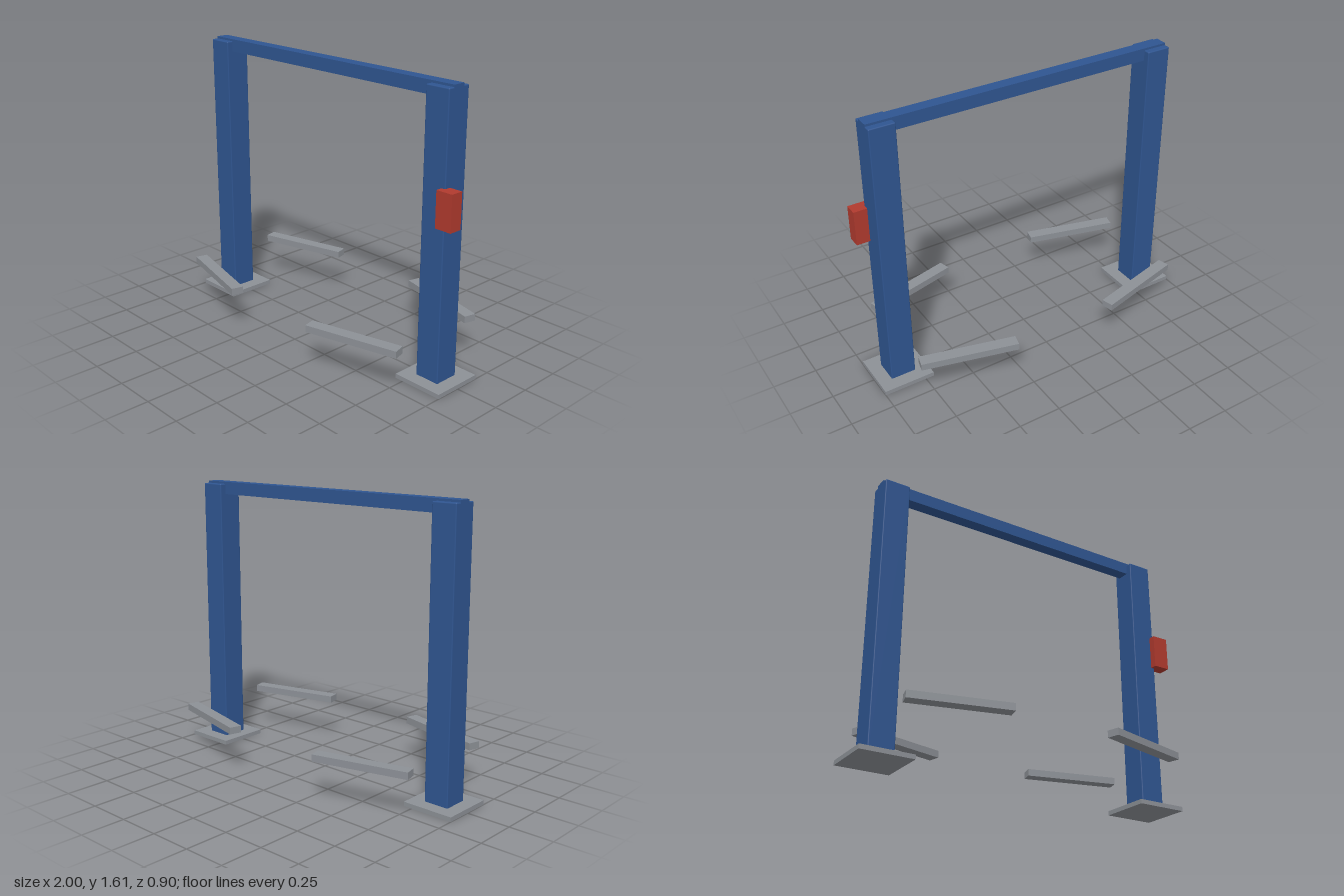
import * as THREE from 'three';
import { RoundedBoxGeometry } from 'three/addons/geometries/RoundedBoxGeometry.js';

const blue = new THREE.MeshStandardMaterial({ color: 0x2f5590 });
const red = new THREE.MeshStandardMaterial({ color: 0xb03a2e });
const grey = new THREE.MeshStandardMaterial({ color: 0x8c9096 });

export function createModel() {
  const model = new THREE.Group();
  model.name = 'twoPostLift';

  const add = (name, geometry, material, x, y, z) => {
    const mesh = new THREE.Mesh(geometry, material);
    mesh.name = name;
    mesh.position.set(x, y, z);
    model.add(mesh);
    return mesh;
  };

  // Shared shapes
  const plate = new THREE.BoxGeometry(0.3, 0.025, 0.3);
  const column = new RoundedBoxGeometry(0.147, 1.58, 0.147, 2, 0.006);
  const arm = new THREE.BoxGeometry(0.55, 0.04, 0.07);

  for (const sx of [1, -1]) {
    const side = sx > 0 ? 'left' : 'right';
    // Base plate and upright column
    add(`${side}BasePlate`, plate, grey, sx * 0.85, 0.0125, 0);
    add(`${side}Column`, column, blue, sx * 0.85, 0.81, 0);

    // Lifting arms, angled away from the columns towards the middle
    for (const sz of [1, -1]) {
      const end = sz > 0 ? 'Front' : 'Back';
      const mesh = add(`${side}${end}Arm`, arm, grey, sx * 0.575, 0.255, sz * 0.35);
      mesh.rotation.y = sx * sz * 0.25;
    }
  }

  // Overhead beam joining the columns
  add('crossBeam', new THREE.BoxGeometry(1.847, 0.073, 0.073), blue, 0, 1.576, 0);

  // Control box on the front outer corner of the left column
  add('controlBox', new THREE.BoxGeometry(0.1, 0.2, 0.075), red, 0.95, 1.0, 0.075);

  return model;
}
